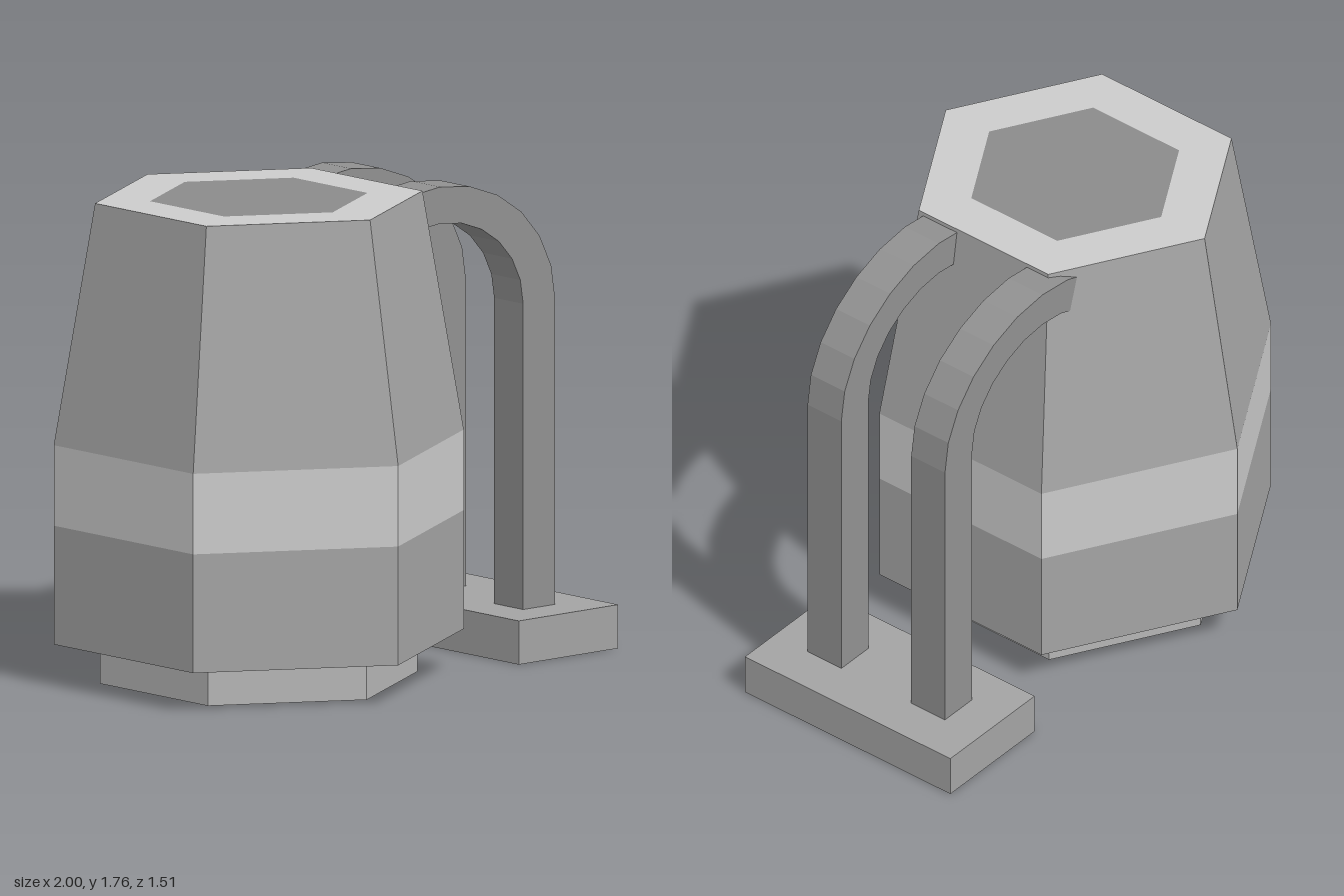
import * as THREE from 'three';

const CX = -0.347; // axis of the hexagonal body

const grey = (color) => new THREE.MeshStandardMaterial({ color, flatShading: true });
const light = grey(0xcccccc), wall = grey(0xa4a4a4), stone = grey(0xb6b6b6);
const slab = grey(0xa3a3a3), tube = grey(0x909090), dark = grey(0x8a8a8a);

export function createModel() {
  const model = new THREE.Group();
  const add = (name, geometry, material, x, y, z) => {
    const mesh = new THREE.Mesh(geometry, material);
    mesh.name = name;
    mesh.position.set(x, y, z);
    model.add(mesh);
    return mesh;
  };

  // Six-sided section between two heights, a corner pointing to +z
  const hexSection = (name, y0, y1, r0, r1, material, open = true) =>
    add(name, new THREE.CylinderGeometry(r1, r0, y1 - y0, 6, 1, open), material, CX, (y0 + y1) / 2, 0);

  // Flat hexagonal ring or plate; side +1 faces up, -1 faces down
  const hexPlate = (name, y, inner, outer, side, material) => {
    const geometry = inner > 0
      ? new THREE.RingGeometry(inner, outer, 6, 1, Math.PI / 2)
      : new THREE.CircleGeometry(outer, 6, Math.PI / 2);
    add(name, geometry.rotateX(-side * Math.PI / 2), material, CX, y, 0);
  };

  // Tank body
  hexSection('base', 0, 0.18, 0.584, 0.584, stone, false);
  hexPlate('bodyUnderside', 0.15, 0.5, 0.754, -1, wall);
  hexSection('lowerWall', 0.15, 0.585, 0.754, 0.754, wall);
  hexSection('band', 0.585, 0.88, 0.754, 0.754, light);
  hexSection('upperWall', 0.88, 1.76, 0.754, 0.602, wall);
  hexPlate('topRim', 1.76, 0.4, 0.602, 1, light);
  hexPlate('topPanel', 1.76, 0, 0.4, 1, dark);

  // Ground pad carrying the two pipes
  add('pad', new THREE.BoxGeometry(0.48, 0.16, 0.955), slab, 0.76, 0.08, -0.043);

  // Bent square pipes: upright leg, then an elliptical bend into the body
  const bend = (rx, ry) => Array.from({ length: 9 }, (_, i) => {
    const a = i * Math.PI / 12;
    return new THREE.Vector2(0.28 + rx * Math.cos(a), 1.28 + ry * Math.sin(a));
  });
  const profile = new THREE.Shape([
    new THREE.Vector2(0.68, 0.14),
    new THREE.Vector2(0.834, 0.14),
    ...bend(0.554, 0.478),
    ...bend(0.4, 0.344).reverse(),
  ]);
  const pipe = new THREE.ExtrudeGeometry(profile, { depth: 0.157, bevelEnabled: false });
  add('frontPipe', pipe, tube, 0, 0, 0.122);
  add('backPipe', pipe, tube, 0, 0, -0.36);

  return model;
}
